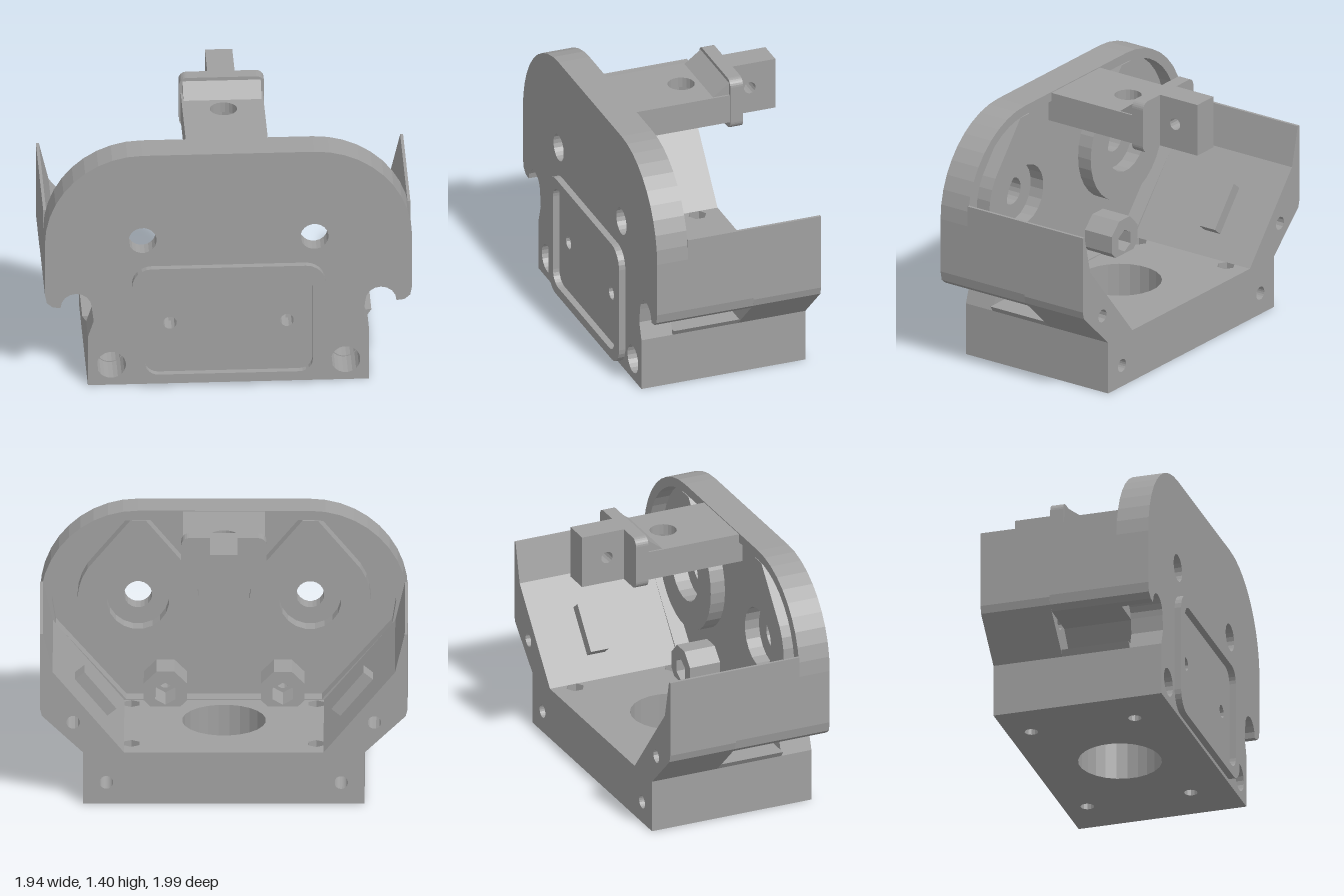
import * as THREE from 'three';

const grey = new THREE.MeshStandardMaterial({ color: 0xa0a0a0 });
grey.name = 'grey plastic';

const poly = (pts) => new THREE.Shape(pts.map(([x, y]) => new THREE.Vector2(x, y)));
const rect = (x0, x1, y0, y1) => poly([[x0, y0], [x1, y0], [x1, y1], [x0, y1]]);
const arc = (cx, cy, r, a0, a1, n) => Array.from({ length: n + 1 }, (_, i) => {
  const a = (a0 + ((a1 - a0) * i) / n) * Math.PI / 180;
  return [cx + r * Math.cos(a), cy + r * Math.sin(a)];
});
const circle = (x, y, r, n = 20) => poly(arc(x, y, r, 360 / (2 * n), 360 + 360 / (2 * n), n).slice(0, -1));
const cut = (shape, ...holes) => { shape.holes.push(...holes); return shape; };
const both = (half) => [...half, ...half.map(([x, y]) => [-x, y]).reverse()];

function roundRect(x0, x1, y0, y1, r) {
  return poly([...arc(x1 - r, y1 - r, r, 0, 90, 6), ...arc(x0 + r, y1 - r, r, 90, 180, 6),
    ...arc(x0 + r, y0 + r, r, 180, 270, 6), ...arc(x1 - r, y0 + r, r, 270, 360, 6)]);
}

export function createModel() {
  const model = new THREE.Group();
  const body = new THREE.Group();
  body.name = 'carriage';
  body.rotation.y = -0.827;
  model.add(body);

  const add = (name, geometry) => {
    const mesh = new THREE.Mesh(geometry, grey);
    mesh.name = name;
    body.add(mesh);
    return mesh;
  };
  const extrude = (shape, depth) => new THREE.ExtrudeGeometry(shape, { depth, bevelEnabled: false });
  // Shape in x,y pulled along z
  const alongZ = (name, shape, z0, z1) => add(name, extrude(shape, z1 - z0).translate(0, 0, z0));
  // Shape in x,-z pulled along y
  const alongY = (name, shape, y0, y1) =>
    add(name, extrude(shape, y1 - y0).rotateX(-Math.PI / 2).translate(0, y0, 0));
  // Shape in -z,y pulled along x
  const alongX = (name, shape, x0, x1) =>
    add(name, extrude(shape, x1 - x0).rotateY(Math.PI / 2).translate(x0, 0, 0));

  // Front plate outline: base, rod notches, wings and round shoulders
  const outline = () => poly(both([
    [0.72, 0], [0.72, 0.28], [0.69, 0.37], ...arc(0.78, 0.45, 0.08, 180, 0, 8),
    [0.9, 0.455], [0.93, 0.48], [0.94, 0.53], ...arc(0.44, 0.83, 0.5, 0, 90, 10).map(([x, y]) => [x, y - 0.01]),
  ]));
  const sides = [1, -1];
  const footHoles = () => sides.map((s) => circle(s * 0.6, 0.115, 0.075));
  alongZ('frontPlate', cut(outline(), ...footHoles(),
    ...sides.map((s) => circle(s * 0.44, 0.83, 0.072)),
    ...sides.map((s) => circle(s * 0.3, 0.35, 0.035, 12))), 0.36, 0.45);

  // Rim around the recessed inside of the plate
  const recess = poly(both([[0.5, 0.285], [0.86, 0.7], ...arc(0.44, 0.83, 0.44, 0, 90, 10)]));
  alongZ('plateRim', cut(outline(), recess, ...footHoles()), 0.28, 0.36);

  // Raised frame on the front
  alongZ('frontFrame', cut(roundRect(-0.495, 0.495, 0.02, 0.68, 0.1),
    roundRect(-0.43, 0.43, 0.07, 0.63, 0.07)), 0.45, 0.485);

  // Floor: wide opening and four bolt holes with nut pockets
  const floor = (boltRadius, sidesCount) => cut(rect(-0.523, 0.523, -0.28, 0.45), circle(0, 0, 0.215, 24),
    ...sides.flatMap((s) => [0.325, -0.23].map((z) => circle(s * 0.473, z, boltRadius, sidesCount))));
  alongY('floorLower', floor(0.035, 12), 0, 0.2);
  alongY('floorUpper', floor(0.048, 6), 0.2, 0.28);

  for (const s of sides) {
    const m = (pts) => poly(pts.map(([x, y]) => [s * x, y]));
    const foot = (r) => cut(m([[0.523, 0], [0.72, 0], [0.72, 0.28], [0.523, 0.28]]), circle(s * 0.6, 0.115, r));
    alongZ('footFront', foot(0.07), 0, 0.28);
    alongZ('footBack', foot(0.035), -0.45, 0);

    // Flared side wing: solid at the back, slotted along the front
    alongZ('wingBack', cut(m([[0.51, 0.28], [0.72, 0.28], [0.93, 0.48], [0.94, 0.52], [0.94, 0.93],
      [0.925, 0.93], [0.875, 0.72]]), circle(s * 0.77, 0.445, 0.035, 12)), -0.45, -0.08);
    alongZ('wingSlotted', m([[0.51, 0.28], [0.72, 0.28], [0.74, 0.31], [0.575, 0.31], [0.69, 0.45], [0.9, 0.455],
      [0.93, 0.48], [0.94, 0.53], [0.94, 0.93], [0.925, 0.93], [0.875, 0.72]]), -0.08, 0.28);

    // Raised pad on the inside slope
    const pad = add('slopePad', new THREE.BoxGeometry(0.26, 0.1, 0.1));
    pad.position.set(s * 0.67, 0.49, -0.15);
    pad.rotation.z = s * 0.885;

    // Gusset between wing and plate
    alongZ('cornerGusset', m([[0.72, 0.53], [0.9, 0.75], [0.9, 0.53]]), 0.18, 0.28);

    // Teardrop bearing boss
    alongZ('bearingBoss', cut(poly([[s * 0.44 - 0.04, 1.265], ...arc(s * 0.44, 0.83, 0.31, 135, 405, 24),
      [s * 0.44 + 0.04, 1.265]]), circle(s * 0.44, 0.83, 0.16)), 0.28, 0.36);

    // Hexagonal nut holder behind the front screw
    alongZ('nutHolder', cut(circle(s * 0.3, 0.36, 0.12, 8), circle(s * 0.3, 0.35, 0.06, 6)), 0.19, 0.36);
  }

  // Top arm with a stepped hole
  const arm = (r, n) => cut(rect(-0.21, 0.21, -0.3, 0.24), circle(0, 0.05, r, n));
  alongY('armLower', arm(0.16, 10), 1.16, 1.26);
  alongY('armUpper', arm(0.07, 20), 1.26, 1.315);

  // Flange, its sloped foot and the drilled end block
  alongZ('armFlange', roundRect(-0.218, 0.218, 1.12, 1.4, 0.04), -0.305, -0.235);
  alongX('flangeRamp', poly([[0.14, 1.31], [0.24, 1.31], [0.24, 1.385]]), -0.2, 0.2);
  alongX('endBlock', cut(rect(0.3, 0.54, 1.12, 1.4), circle(0.4, 1.26, 0.032, 14)), -0.07, 0.07);

  return model;
}
